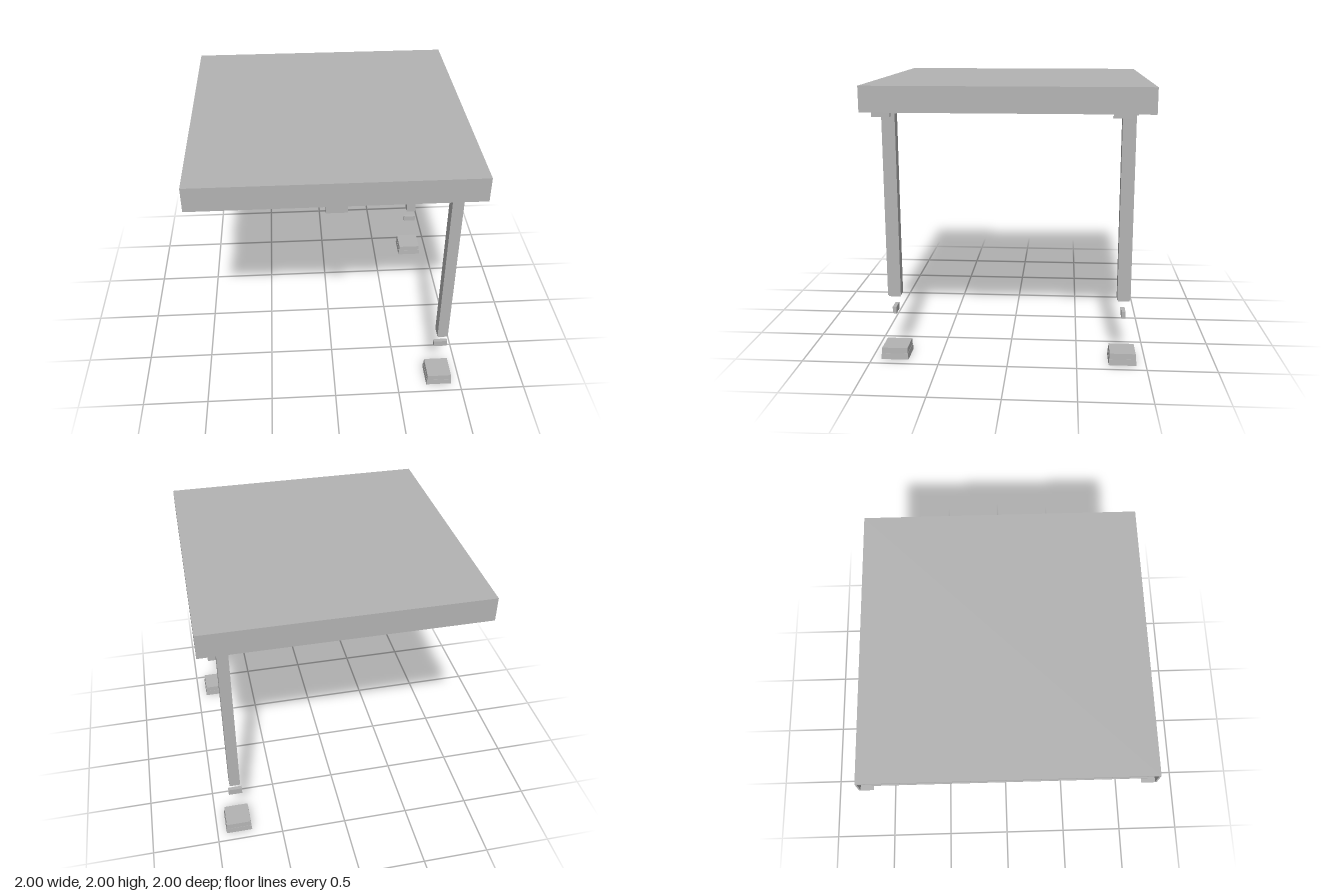
import * as THREE from 'three';

export function createModel() {
  const model = new THREE.Group();
  const steel = new THREE.MeshStandardMaterial({ color: 0xb3b3b3 });
  steel.name = 'grey steel';

  // box given by its limits on each axis
  function box(name, x0, x1, y0, y1, z0, z1, parent = model) {
    const mesh = new THREE.Mesh(new THREE.BoxGeometry(x1 - x0, y1 - y0, z1 - z0), steel);
    mesh.position.set((x0 + x1) / 2, (y0 + y1) / 2, (z0 + z1) / 2);
    mesh.name = name;
    parent.add(mesh);
    return mesh;
  }

  // square block with slightly sloping sides
  function taperedBlock(name, bottom, top, y0, y1, parent) {
    const geometry = new THREE.CylinderGeometry(top / Math.SQRT2, bottom / Math.SQRT2, y1 - y0, 4, 1)
      .rotateY(Math.PI / 4).toNonIndexed();
    geometry.computeVertexNormals();
    const mesh = new THREE.Mesh(geometry, steel);
    mesh.position.y = (y0 + y1) / 2;
    mesh.name = name;
    parent.add(mesh);
  }

  // roof sheet
  box('roofSheet', -1, 1, 1.985, 2, -1, 1);

  // edge channels on front, back and left side; the right side stays open
  const eave = 1.82, t = 0.012, flange = 0.1;
  box('sideWeb', 1 - t, 1, eave, 1.985, -1, 1);
  box('sideFlange', 1 - flange, 1 - t, eave, eave + t, -1 + flange, 1 - flange);
  for (const s of [-1, 1]) {
    const web = [s, s * (1 - t)].sort((a, b) => a - b);
    const lip = [s * (1 - t), s * (1 - flange)].sort((a, b) => a - b);
    box('edgeWeb', -1, 1 - t, eave, 1.985, ...web);
    box('edgeFlange', -1, 1 - t, eave, eave + t, ...lip);
  }

  // channel purlins under the roof, open toward -x
  for (const x of [0, -0.945]) {
    const purlin = new THREE.Group();
    purlin.name = 'purlin';
    box('purlinWeb', x - 0.01, x, 1.9, 1.985, -0.93, 0.93, purlin);
    box('purlinLowerFlange', x - 0.045, x - 0.01, 1.9, 1.908, -0.93, 0.93, purlin);
    box('purlinUpperFlange', x - 0.045, x - 0.01, 1.977, 1.985, -0.93, 0.93, purlin);
    model.add(purlin);
  }

  // joint clip in the middle of the front edge
  box('frontClip', -0.075, 0.07, 1.77, eave, 0.965, 1);
  box('frontClipInside', -0.075, 0.07, eave, 1.92, 0.965, 0.99);

  // posts with brackets, anchor clips and footings
  for (const z of [-0.83, 0.83]) {
    const support = new THREE.Group();
    support.name = 'support';
    support.position.set(0.83, 0, z);
    box('post', -0.04, 0.04, 0.475, 1.985, -0.047, 0.047, support);
    box('postPlug', -0.034, 0.034, 0.465, 0.475, -0.041, 0.041, support);
    box('postTopPlate', -0.055, 0.04, 1.8, eave, -0.06, 0.06, support);
    box('postBracket', 0.05, 0.07, 1.78, eave + 0.03, -0.02, 0.11, support);
    box('anchorClip', -0.053, 0.05, 0.34, 0.39, -0.014, 0.014, support);
    taperedBlock('footingLower', 0.2, 0.194, 0, 0.045, support);
    taperedBlock('footingUpper', 0.19, 0.186, 0.045, 0.087, support);
    model.add(support);

    // corner brace from the post to the edge channel
    const s = Math.sign(z);
    const brace = box('cornerBrace', 0.56, 0.79, 1.88, 1.96, -0.005, 0.005);
    brace.position.z = s * 0.87;
    brace.rotation.y = s * 0.66;
    box('ceilingPlate', 0.52, 0.72, 1.979, 1.985, s * 0.74 - 0.08, s * 0.74 + 0.08);
  }
  return model;
}
